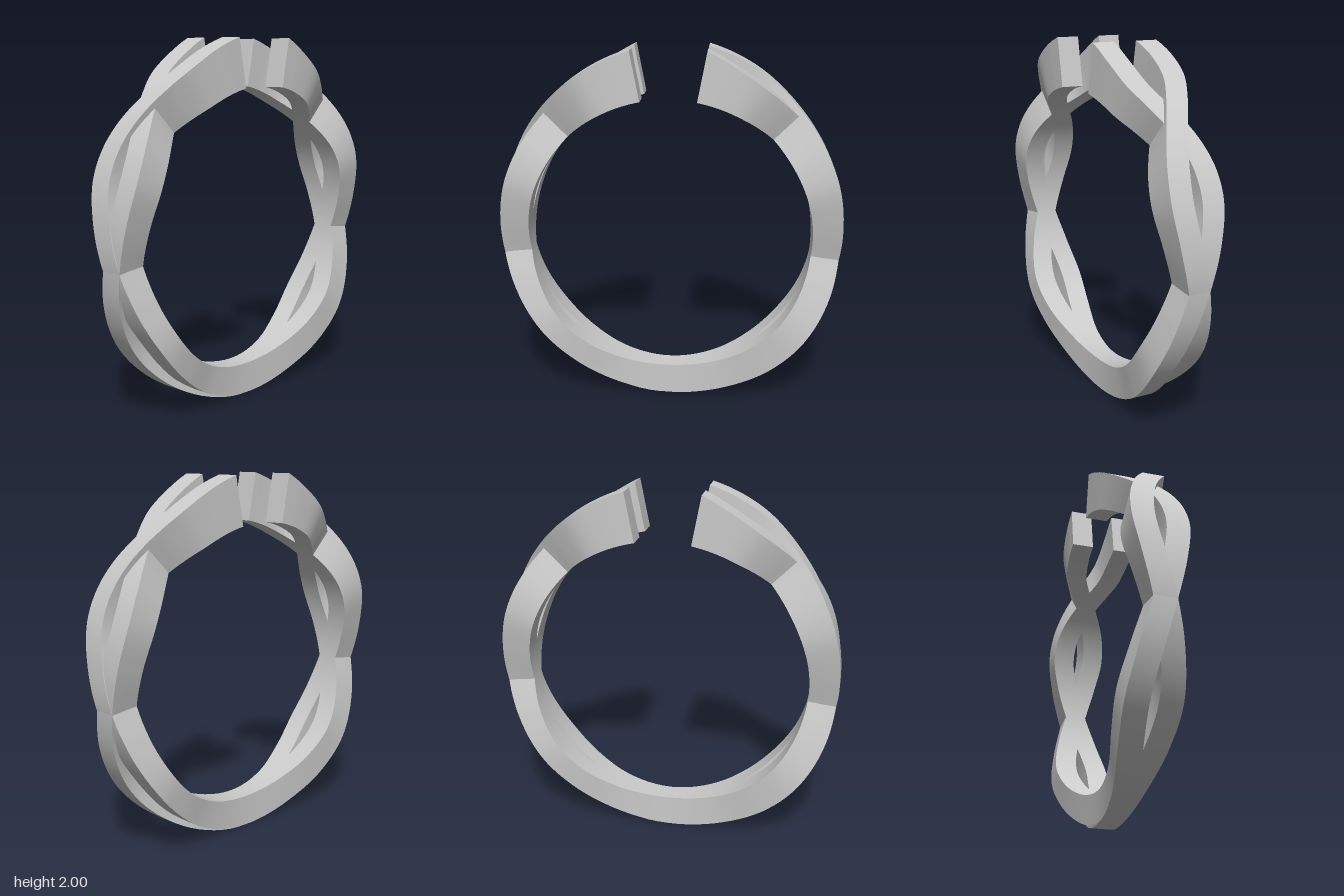
import * as THREE from 'three';
import { toCreasedNormals } from 'three/addons/utils/BufferGeometryUtils.js';

const CENTRE_Y = 0.96, INNER_R = 0.786, HALF_WIDTH = 0.062, STEPS = 160;

// [degrees from the top, sideways offset, outer radius going down, outer radius coming back up]
const WEAVE = [
  [11, 0.127, 1.056, 1.056],
  [20, 0.122, 1.04, 1.015],
  [30, 0.102, 1.022, 0.985],
  [38, 0.052, 1.008, 0.972],
  [45, 0, 0.998, 0.967],
  [52, -0.045, 0.99, 0.963],
  [60, -0.08, 0.98, 0.959],
  [70, -0.091, 0.968, 0.953],
  [83, -0.055, 0.952, 0.945],
  [97, 0, 0.942, 0.942],
  [110, 0.05, 0.928, 0.95],
  [127, 0.09, 0.916, 0.956],
  [143, 0.07, 0.918, 0.959],
  [160, 0.025, 0.938, 0.96],
  [180, 0.001, 0.96, 0.96],
];

// Flat band swept round the ring: rectangular section, swaying in z
function strandGeometry() {
  const keys = WEAVE.map(([a, c, r]) => new THREE.Vector3(a, c, r));
  for (const [a, c, , r] of WEAVE.slice(0, -1).reverse()) keys.push(new THREE.Vector3(360 - a, c, r));
  const path = new THREE.CatmullRomCurve3(keys);

  const rings = path.getPoints(STEPS).map(({ x: deg, y: offset, z: outer }) => {
    const a = THREE.MathUtils.degToRad(deg);
    const corner = (r, side) => [-Math.sin(a) * r, CENTRE_Y + Math.cos(a) * r, offset + side * HALF_WIDTH];
    return [corner(outer, 1), corner(INNER_R, 1), corner(INNER_R, -1), corner(outer, -1)];
  });

  const positions = [];
  const quad = (a, b, c, d) => positions.push(...a, ...b, ...c, ...a, ...c, ...d);
  for (let i = 0; i < STEPS; i++) {
    for (let k = 0; k < 4; k++) {
      const n = (k + 1) % 4;
      quad(rings[i][k], rings[i + 1][k], rings[i + 1][n], rings[i][n]);
    }
  }
  // End faces at the opening
  quad(...rings[0]);
  quad(...[...rings[STEPS]].reverse());

  const geometry = new THREE.BufferGeometry();
  geometry.setAttribute('position', new THREE.Float32BufferAttribute(positions, 3));
  return toCreasedNormals(geometry, 0.6);
}

export function createModel() {
  const group = new THREE.Group();
  group.name = 'wovenOpenRing';
  const material = new THREE.MeshStandardMaterial({ color: 0xcccccc });
  const geometry = strandGeometry();

  // Two identical strands, the second turned half way round the vertical axis
  ['frontStrand', 'backStrand'].forEach((name, i) => {
    const strand = new THREE.Mesh(geometry, material);
    strand.name = name;
    strand.rotation.y = i * Math.PI;
    group.add(strand);
  });
  return group;
}
